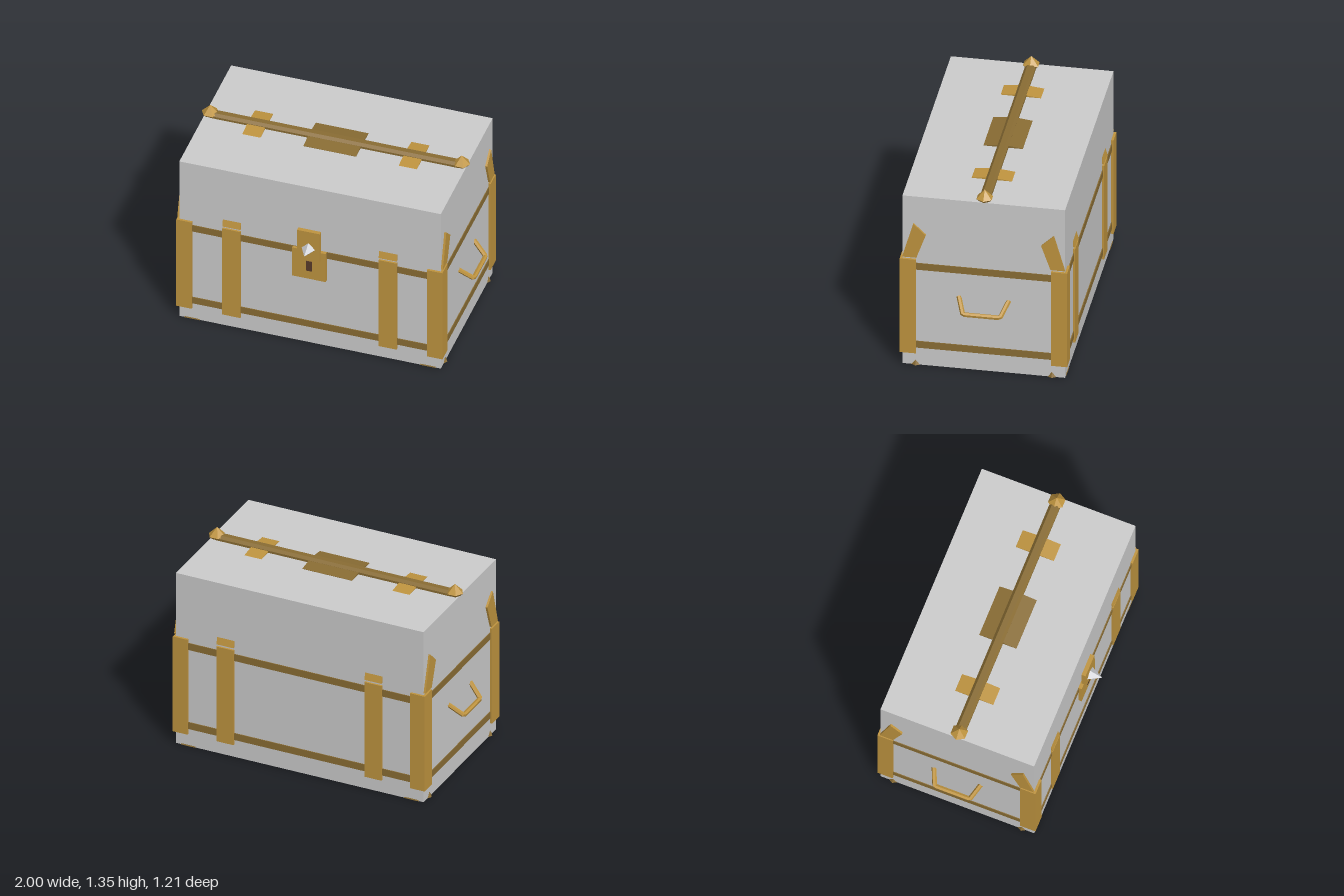
import * as THREE from 'three';

const CZ = -0.053; // depth centre of the chest
const W = 0.895, D = 0.537, H = 1.27;

export function createModel() {
  const root = new THREE.Group();
  root.name = 'chest';
  const mat = (name, color) => {
    const m = new THREE.MeshStandardMaterial({ color, flatShading: true });
    m.name = name;
    return m;
  };
  const grey = mat('paleGrey', 0xcccccc);
  const gold = mat('gold', 0xbf943f);
  const darkGold = mat('darkGold', 0x8a6d34);
  const brown = mat('darkWood', 0x573a2a);
  const silver = mat('silver', 0xd4d6da);

  const add = (name, geo, material, x = 0, y = 0, z = 0) => {
    const m = new THREE.Mesh(geo, material);
    m.name = name;
    m.position.set(x, y, z + CZ);
    root.add(m);
    return m;
  };
  // Box given by its limits; z is relative to the chest centre
  const box = (name, material, x0, x1, y0, y1, z0, z1) =>
    add(name, new THREE.BoxGeometry(Math.abs(x1 - x0), y1 - y0, Math.abs(z1 - z0)), material,
      (x0 + x1) / 2, (y0 + y1) / 2, (z0 + z1) / 2);
  // Outline in (z, y) extruded along x
  const prism = (name, pts, material, x0, x1) => {
    const shape = new THREE.Shape(pts.map(([z, y]) => new THREE.Vector2(-z, y)));
    const geo = new THREE.ExtrudeGeometry(shape, { depth: x1 - x0, bevelEnabled: false });
    geo.rotateY(Math.PI / 2);
    geo.scale(1, 1, 1);
    return add(name, geo, material, x0);
  };
  const mirrored = (half) => [...half, ...half.slice(0, -1).reverse().map(([z, y]) => [-z, y])];

  // Outer casing and the wooden chest within it
  box('casing', grey, -W, W, 0.001, H, -D, D);
  box('woodBody', brown, -W + 0.002, W - 0.002, 0.004, 0.8, -D + 0.002, D - 0.002);
  prism('woodLid', mirrored([[0.53, 0.8], [0.46, 1.07], [0.32, 1.19], [0.13, 1.25], [0, 1.265]]),
    brown, -W + 0.002, W - 0.002);

  // Arched lid strips
  const outer = mirrored([[0.55, 0.817], [0.477, 1.09], [0.33, 1.21], [0.13, 1.271], [0, 1.286]]);
  const inner = outer.map(([z, y]) => [z * 0.96, y === 0.817 ? y : y - 0.02]).reverse();
  for (const s of [-1, 1]) prism('lidStrap', [...outer, ...inner], gold, s * 0.535 - 0.062, s * 0.535 + 0.062);
  prism('lidCentrePlate', [[0.13, 1.262], [0.13, 1.272], [0, 1.289], [-0.13, 1.272], [-0.13, 1.262]],
    darkGold, -0.18, 0.18);

  // Ridge bar with faceted end knobs
  prism('ridgeBar', [[0.036, 1.268], [0.036, 1.285], [0.018, 1.302], [-0.018, 1.302], [-0.036, 1.285], [-0.036, 1.268]],
    darkGold, -0.85, 0.85);
  for (const s of [-1, 1]) {
    const knob = new THREE.LatheGeometry(
      [[0, 1.262], [0.03, 1.262], [0.058, 1.29], [0, 1.349]].map(([r, y]) => new THREE.Vector2(r, y)), 6);
    knob.rotateY(Math.PI / 2);
    add('ridgeKnob', knob, gold, s * 0.86);
  }

  // Horizontal bands around the body
  for (const [y0, y1] of [[0.13, 0.18], [0.72, 0.77]]) {
    for (const s of [-1, 1]) {
      box('longBand', darkGold, -W, W, y0, y1, s * (D - 0.01), s * (D + 0.006));
      box('endBand', darkGold, s * (W - 0.01), s * (W + 0.005), y0, y1, -D, D);
    }
  }

  for (const sx of [-1, 1]) {
    for (const sz of [-1, 1]) {
      // Corner angles and upright straps
      box('cornerFront', gold, sx * 0.805, sx * 0.911, 0.092, 0.8, sz * (D - 0.01), sz * 0.553);
      box('cornerSide', gold, sx * (W - 0.01), sx * 0.911, 0.092, 0.8, sz * 0.446, sz * 0.552);
      box('uprightStrap', gold, sx * 0.473, sx * 0.597, 0.094, 0.8, sz * (D - 0.01), sz * 0.55);

      // Slanted lid corner plates
      const pts = [[0.537, 0.815], [0.464, 1.07], [0.381, 0.99], [0.443, 0.815]].map(([z, y]) => [sz * z, y]);
      const x = sx * 0.899;
      prism('lidCorner', pts, gold, x - 0.01, x + 0.01);

      // Six-sided feet
      const foot = new THREE.CylinderGeometry(0.06, 0.104, 0.1, 6);
      foot.rotateY(Math.PI / 2);
      add('foot', foot, darkGold, sx * 0.807, 0.05, sz * 0.45);
    }

    // Bent carrying handles
    const path = new THREE.CurvePath();
    const p = [[0.89, 0.542, 0.165], [0.983, 0.463, 0.123], [0.983, 0.463, -0.123], [0.89, 0.542, -0.165]]
      .map(([x, y, z]) => new THREE.Vector3(sx * x, y, z));
    for (let i = 0; i < 3; i++) path.add(new THREE.LineCurve3(p[i], p[i + 1]));
    add('handle', new THREE.TubeGeometry(path, 40, 0.016, 6), gold);
  }

  // Lock: plate, hasp, keyhole and pointed stud
  const f = -CZ; // cancels the centre offset
  box('lockPlate', gold, -0.115, 0.115, 0.54, 0.77, 0.475 + f, 0.508 + f);
  box('lockHasp', gold, -0.078, 0.078, 0.7, 0.932, 0.492 + f, 0.52 + f);
  box('keyhole', brown, -0.02, 0.02, 0.606, 0.684, 0.506 + f, 0.512 + f);
  const stud = new THREE.ConeGeometry(0.047, 0.087, 4);
  stud.rotateX(Math.PI / 2);
  add('lockStud', stud, silver, 0, 0.795, 0.562 + f);

  return root;
}
